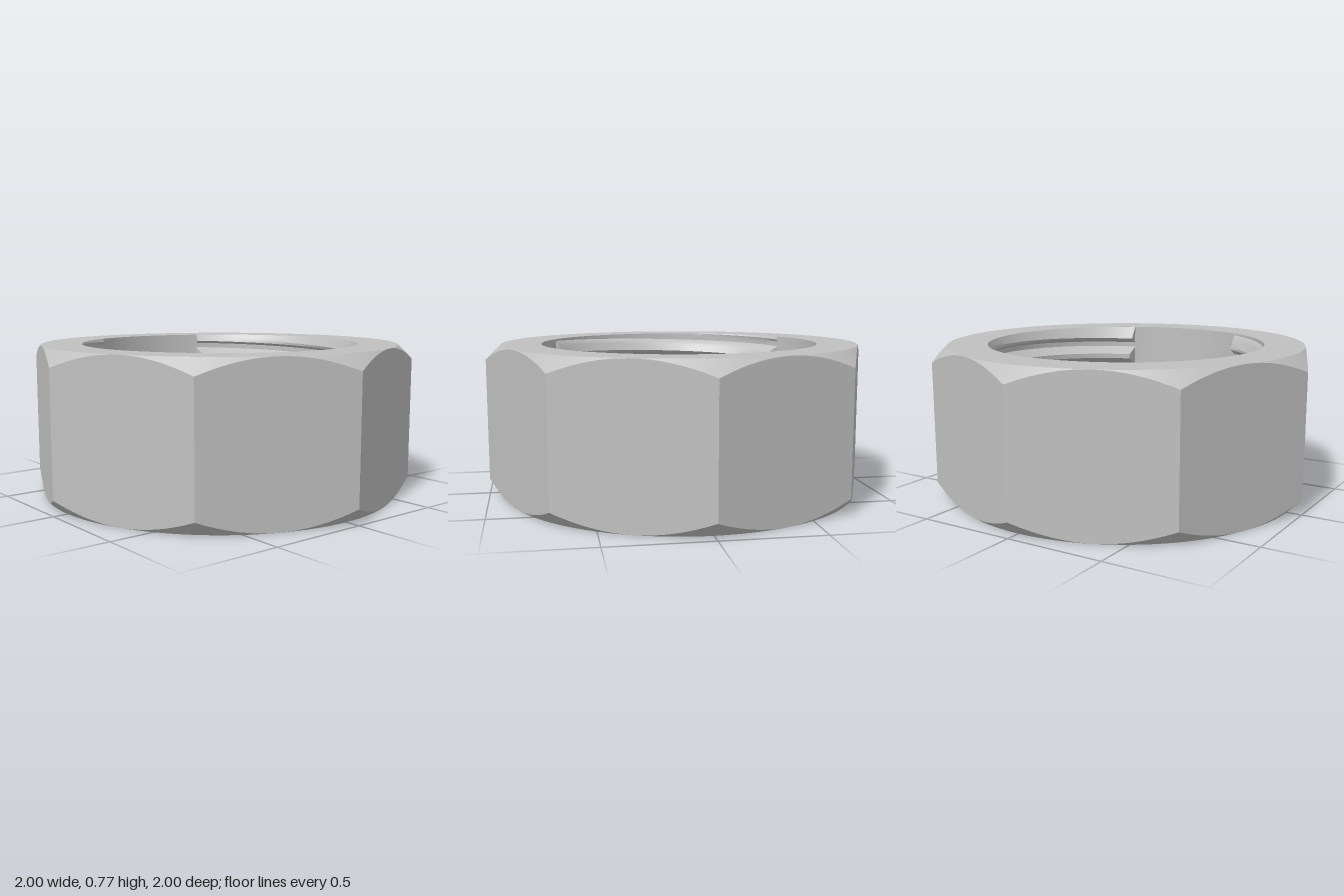
import * as THREE from 'three';
import { toCreasedNormals } from 'three/addons/utils/BufferGeometryUtils.js';

const H = 0.775;        // height of the nut
const FLAT = 0.924;     // centre to flat side
const BORE = 0.718;     // wide bore
const LIP_R = 0.615;    // narrow opening at the bottom
const LIP_H = 0.12;
const ROOT = 0.717, CREST = 0.66, TURNS = 5, CUT_Z = 0.33;
const PITCH = (H - LIP_H) / TURNS;

const steel = new THREE.MeshStandardMaterial({ color: 0xc0c0c0 });
steel.name = 'steel';

const polar = (r, a, y) => new THREE.Vector3(r * Math.cos(a), y, -r * Math.sin(a));

// Surface through a grid of points: rows follow the profile, columns go round the axis
function gridGeometry(rows, cols, point) {
  const pos = [];
  const tri = (a, b, c) => {
    const n = b.clone().sub(a).cross(c.clone().sub(a));
    if (n.length() > 1e-9) for (const p of [a, b, c]) pos.push(p.x, p.y, p.z);
  };
  for (let j = 0; j < cols; j++) {
    for (let i = 0; i < rows; i++) {
      const p = point(i, j), q = point(i + 1, j), s = point(i, j + 1), t = point(i + 1, j + 1);
      tri(p, q, s);
      tri(q, t, s);
    }
  }
  const g = new THREE.BufferGeometry();
  g.setAttribute('position', new THREE.Float32BufferAttribute(pos, 3));
  return toCreasedNormals(g, 0.5);
}

// Octagonal body with conical corner chamfers, bore and bottom lip
function bodyGeometry() {
  const perSide = 16, cols = 8 * perSide;
  return gridGeometry(8, cols, (i, j) => {
    const a = (j / cols) * Math.PI * 2;
    const fromFlat = ((j % perSide) / perSide - 0.5) * Math.PI / 4;
    const R = FLAT / Math.cos(fromFlat);
    const drop = R - FLAT;
    const profile = [
      [BORE, H], [FLAT, H], [R, H - drop], [R, drop], [FLAT, 0],
      [LIP_R, 0], [LIP_R, LIP_H], [BORE, LIP_H], [BORE, H],
    ];
    return polar(profile[i][0], a, profile[i][1]);
  });
}

// Thread radius at a position u within one pitch
function threadRadius(u) {
  if (u < 0.2) return ROOT;
  if (u < 0.5) return THREE.MathUtils.lerp(ROOT, CREST, (u - 0.2) / 0.3);
  if (u < 0.7) return CREST;
  return THREE.MathUtils.lerp(CREST, ROOT, (u - 0.7) / 0.3);
}

// Helical thread on one side of the bore, cut off flat at both ends
function threadGeometry(centre) {
  const steps = [0, 0.2, 0.3, 0.4, 0.5, 0.7, 0.8, 0.9];
  const rows = steps.length * (TURNS + 1), arc = 64;
  return gridGeometry(rows, arc + 2, (i, j) => {
    const t = THREE.MathUtils.clamp((j - 1) / arc, 0, 1) * 2 - 1;
    const lead = (centre + t * Math.acos(CUT_Z / ROOT)) / (Math.PI * 2);
    const v = Math.floor(i / steps.length) - 1 + steps[i % steps.length] + lead;
    const y = THREE.MathUtils.clamp(LIP_H + v * PITCH, LIP_H, H);
    const w = (y - LIP_H) / PITCH - lead;
    // lead-in chamfer at the top of the thread
    let r = Math.max(threadRadius(w - Math.floor(w + 1e-7)), ROOT - (H - y) * 0.5);
    // outer columns lie on the bore wall and close the thread ends
    if (j === 0 || j === arc + 2) r = ROOT;
    return polar(r, centre + t * Math.acos(CUT_Z / r), y);
  });
}

export function createModel() {
  const group = new THREE.Group();
  group.name = 'octagonalNut';
  const add = (geometry, name) => {
    const mesh = new THREE.Mesh(geometry, steel);
    mesh.name = name;
    group.add(mesh);
  };
  add(bodyGeometry(), 'nutBody');
  add(threadGeometry(Math.PI / 2), 'backThread');
  add(threadGeometry(Math.PI * 1.5), 'frontThread');
  return group;
}
